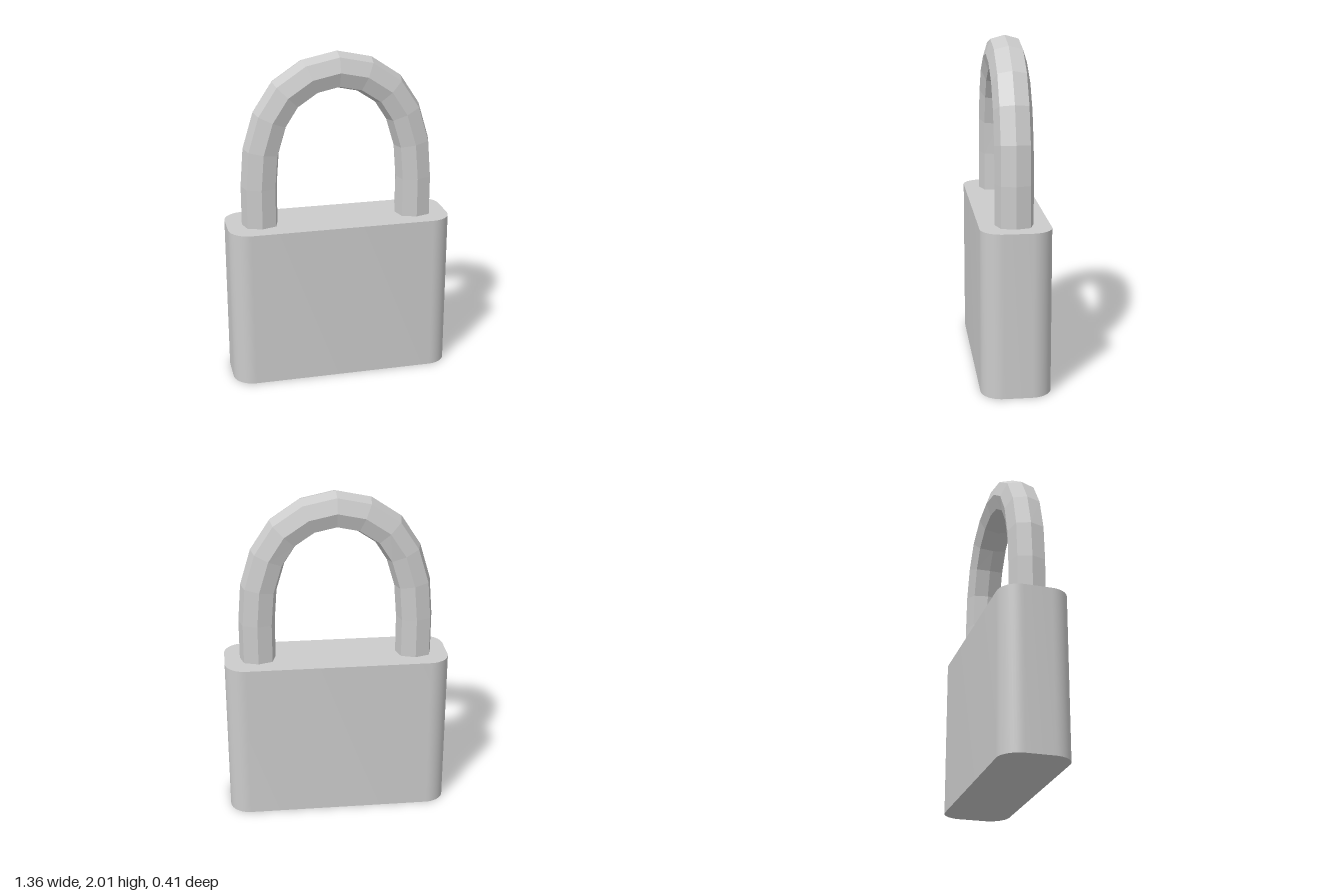
import * as THREE from 'three';
import { toCreasedNormals } from 'three/addons/utils/BufferGeometryUtils.js';

// Rounded rectangle outline centred on the origin
function roundedRect(w, d, r) {
  const s = new THREE.Shape();
  const x = w / 2, y = d / 2;
  s.absarc(x - r, y - r, r, 0, Math.PI / 2);
  s.absarc(r - x, y - r, r, Math.PI / 2, Math.PI);
  s.absarc(r - x, r - y, r, Math.PI, Math.PI * 1.5);
  s.absarc(x - r, r - y, r, Math.PI * 1.5, Math.PI * 2);
  s.closePath();
  return s;
}

// Sweeps a closed section (outward, z) along a path in the xy plane
function sweep(path, section) {
  const pos = [], index = [], n = section.length;
  path.forEach((p, i) => {
    const a = path[Math.max(i - 1, 0)], b = path[Math.min(i + 1, path.length - 1)];
    const t = new THREE.Vector2().subVectors(b, a).normalize();
    for (const [o, z] of section) pos.push(p.x - t.y * o, p.y + t.x * o, z);
    if (i === 0) return;
    for (let k = 0; k < n; k++) {
      const k1 = (k + 1) % n, r0 = (i - 1) * n, r1 = i * n;
      index.push(r0 + k, r0 + k1, r1 + k1, r0 + k, r1 + k1, r1 + k);
    }
  });
  // End caps, hidden inside the body
  const last = (path.length - 1) * n;
  for (let k = 1; k < n - 1; k++) {
    index.push(0, k + 1, k, last, last + k, last + k + 1);
  }
  const g = new THREE.BufferGeometry();
  g.setAttribute('position', new THREE.Float32BufferAttribute(pos, 3));
  g.setIndex(index);
  g.computeVertexNormals();
  return g;
}

export function createModel() {
  const group = new THREE.Group();

  // Body: upright rounded block
  const bodyGeo = new THREE.ExtrudeGeometry(roundedRect(1.36, 0.412, 0.125), {
    depth: 0.98, bevelEnabled: false, curveSegments: 6,
  });
  bodyGeo.rotateX(-Math.PI / 2);
  const body = new THREE.Mesh(
    toCreasedNormals(bodyGeo, Math.PI / 5),
    new THREE.MeshStandardMaterial({ color: 0xcccccc })
  );
  body.name = 'body';
  group.add(body);

  // Shackle: faceted eight-sided bar bent into an arch, mirrored about x = 0
  const half = [
    [-0.477, 0.9], [-0.477, 1.22], [-0.46, 1.435], [-0.403, 1.625],
    [-0.31, 1.768], [-0.165, 1.865],
  ];
  const path = [...half, [0, 1.9], ...half.map(([x, y]) => [-x, y]).reverse()]
    .map(([x, y]) => new THREE.Vector2(x, y));
  const section = [
    [0.109, 0], [0.086, 0.084], [0, 0.112], [-0.086, 0.084],
    [-0.109, 0], [-0.086, -0.084], [0, -0.112], [0.086, -0.084],
  ];
  const shackle = new THREE.Mesh(
    sweep(path, section),
    new THREE.MeshStandardMaterial({ color: 0xcccccc, flatShading: true })
  );
  shackle.name = 'shackle';
  group.add(shackle);

  return group;
}
